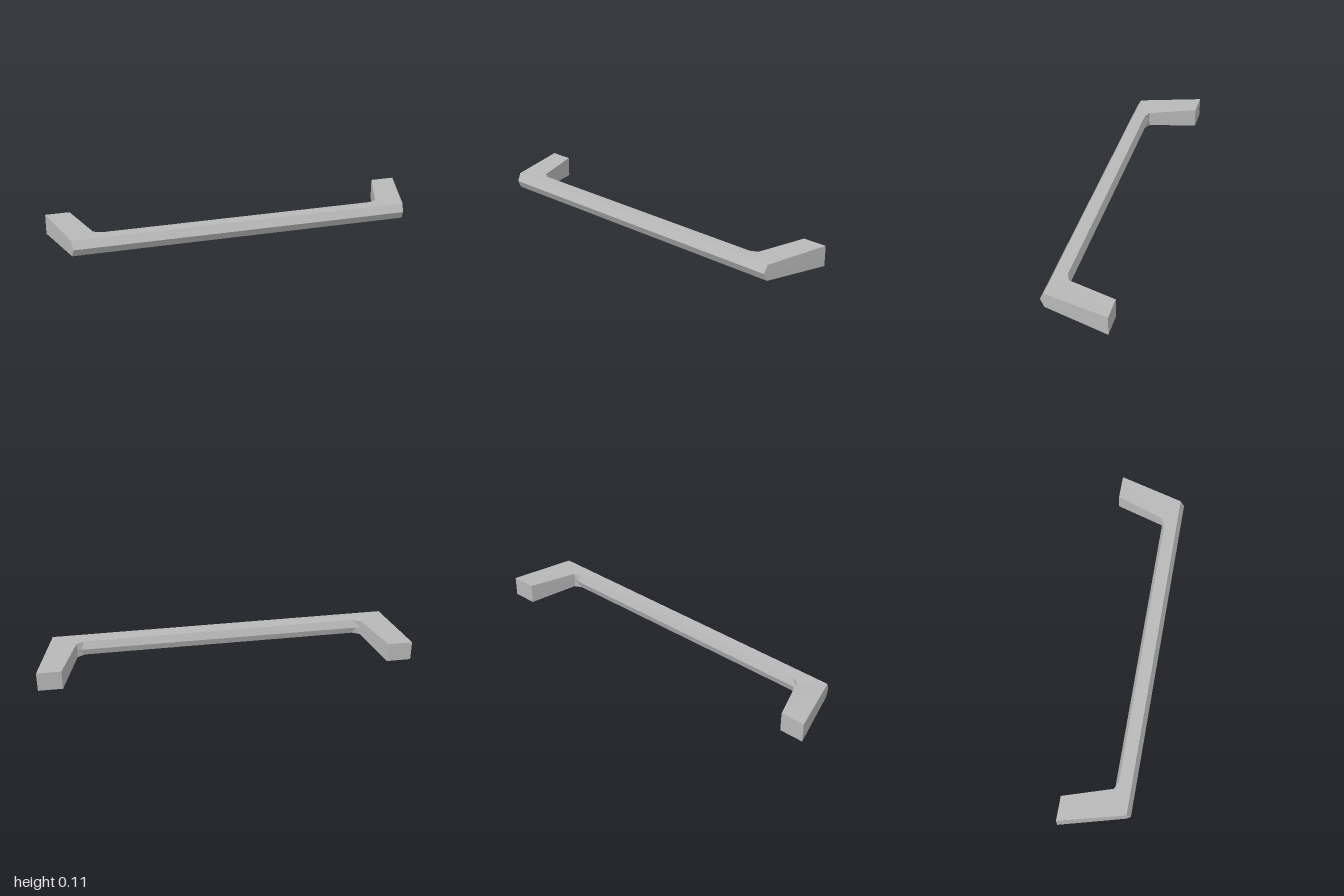
import * as THREE from 'three';

const MID = 0.055; // height of the handle's centre line

// Six-sided section: front ridge, top front, top back, back ridge, bottom back, bottom front.
// Each argument is an [x, z] position; half is half the section's height.
function section(frontRidge, front, back, backRidge, half) {
  const at = ([x, z], dy) => [x, MID + dy, z];
  return [
    at(frontRidge, 0), at(front, half), at(back, half),
    at(backRidge, 0), at(back, -half), at(front, -half),
  ];
}

// Flat-shaded skin through the sections, closed at both ends
function loft(rings) {
  const pos = [];
  const tri = (a, b, c) => pos.push(...a, ...b, ...c);
  for (let i = 0; i < rings.length - 1; i++) {
    const p = rings[i], q = rings[i + 1], n = p.length;
    for (let j = 0; j < n; j++) {
      const k = (j + 1) % n;
      tri(p[j], p[k], q[k]);
      tri(p[j], q[k], q[j]);
    }
  }
  const first = rings[0], last = rings[rings.length - 1];
  for (let j = 1; j < first.length - 1; j++) {
    tri(first[0], first[j + 1], first[j]);
    tri(last[0], last[j], last[j + 1]);
  }
  const geometry = new THREE.BufferGeometry();
  geometry.setAttribute('position', new THREE.Float32BufferAttribute(pos, 3));
  geometry.computeVertexNormals();
  return geometry;
}

export function createModel() {
  const group = new THREE.Group();
  group.name = 'pullHandle';
  const metal = new THREE.MeshStandardMaterial({ color: 0xb8b8b8 });
  metal.name = 'greyMetal';

  // Left half: mounting foot, bend, start of the straight bar
  const half = [
    section([1, -0.185], [1, -0.185], [0.87, -0.185], [0.87, -0.185], 0.055),
    section([0.905, 0.185], [0.91, 0.163], [0.785, 0.075], [0.783, 0.079], 0.0425),
    section([0.745, 0.185], [0.745, 0.163], [0.745, 0.095], [0.76, 0.08], 0.0425),
  ];
  // Mirrored to the right half
  const mirrored = half.map((ring) => ring.map(([x, y, z]) => [-x, y, z])).reverse();

  const handle = new THREE.Mesh(loft([...half, ...mirrored]), metal);
  handle.name = 'handleBar';
  group.add(handle);
  return group;
}
